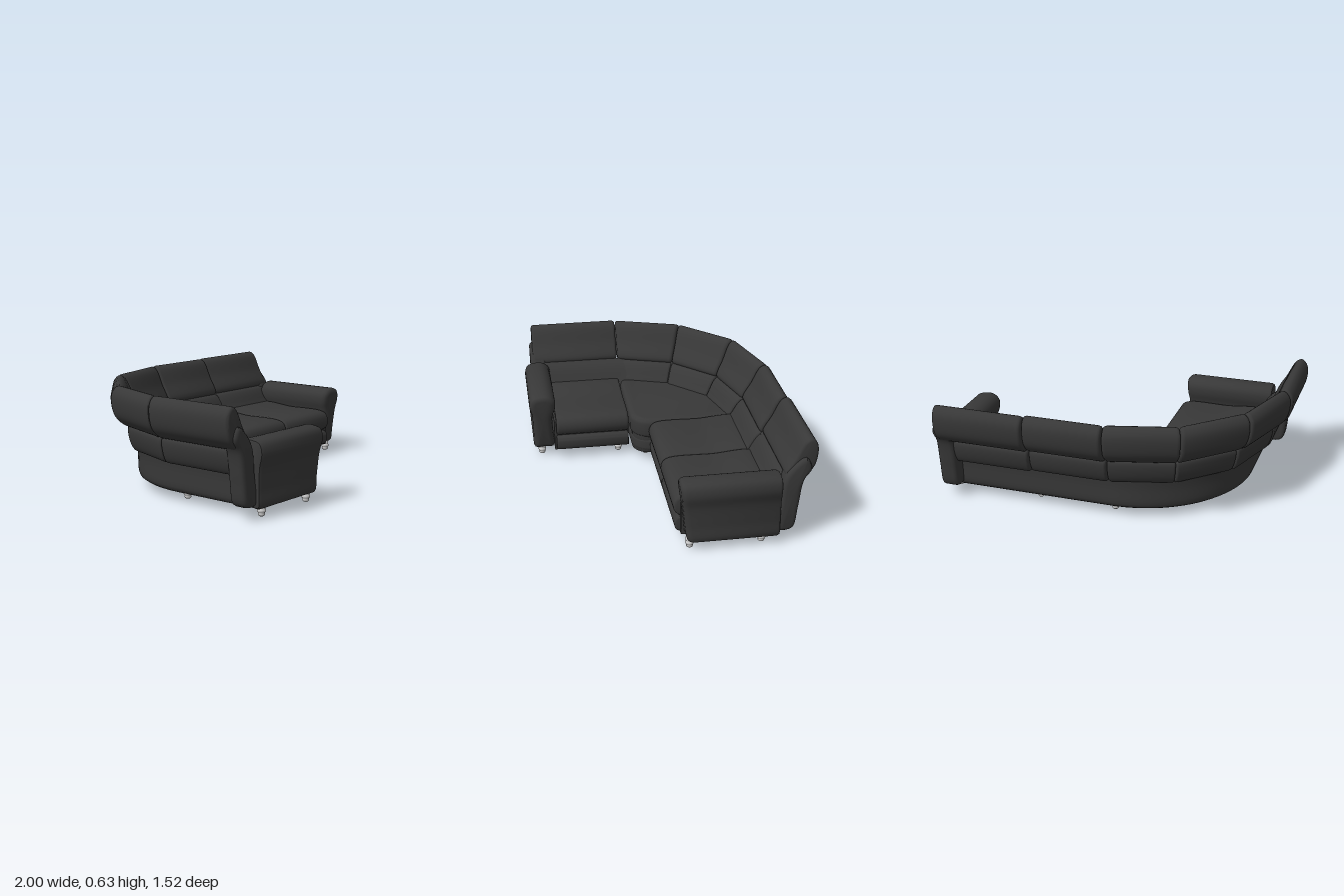
import * as THREE from 'three';
import { toCreasedNormals } from 'three/addons/utils/BufferGeometryUtils.js';

const leather = new THREE.MeshStandardMaterial({ color: 0x383838 });
const metal = new THREE.MeshStandardMaterial({ color: 0xcccccc });

// Centre of the corner turn; q below is the distance outward from it
const CX = -0.09, CZ = 0.13;

// Smooth closed outline through a few [a, y] points, counter-clockwise
function outline(points, n = 48) {
  const curve = new THREE.CatmullRomCurve3(
    points.map(([a, y]) => new THREE.Vector3(a, y, 0)), true, 'centripetal');
  const pts = curve.getSpacedPoints(n).slice(0, n).map(p => new THREE.Vector2(p.x, p.y));
  return THREE.ShapeUtils.area(pts) < 0 ? pts.reverse() : pts;
}

// Outline pulled inward by a distance
function inset(pts, d) {
  const n = pts.length;
  return pts.map((p, i) => {
    const t = pts[(i + 1) % n].clone().sub(pts[(i + n - 1) % n]).normalize();
    return new THREE.Vector2(p.x - t.y * d, p.y + t.x * d);
  });
}

// Closed skin over a row of rings, with both ends capped
function loft(rings) {
  const n = rings[0].length, pos = [], idx = [];
  rings.forEach(r => r.forEach(p => pos.push(p.x, p.y, p.z)));
  for (let i = 0; i < rings.length - 1; i++) {
    for (let j = 0; j < n; j++) {
      const a = i * n + j, b = i * n + (j + 1) % n;
      idx.push(a, b, a + n, b, b + n, a + n);
    }
  }
  [0, rings.length - 1].forEach(k => {
    const c = rings[k].reduce((s, p) => s.add(p), new THREE.Vector3()).divideScalar(n);
    const ci = pos.length / 3;
    pos.push(c.x, c.y, c.z);
    for (let j = 0; j < n; j++) {
      const a = k * n + j, b = k * n + (j + 1) % n;
      k ? idx.push(ci, a, b) : idx.push(ci, b, a);
    }
  });
  // Turn the faces outward if the enclosed volume is negative
  const v = i => new THREE.Vector3().fromArray(pos, i * 3);
  let volume = 0;
  for (let i = 0; i < idx.length; i += 3) volume += v(idx[i]).dot(v(idx[i + 1]).cross(v(idx[i + 2])));
  if (volume < 0) idx.reverse();
  const g = new THREE.BufferGeometry();
  g.setAttribute('position', new THREE.Float32BufferAttribute(pos, 3));
  g.setIndex(idx);
  return toCreasedNormals(g, 0.75);
}

// Stations: an origin and an outward direction, with an optional outward shift
const onLong = (x, o = 0) => ({ x, z: CZ, dx: 0, dz: -1, o });
const onShort = (z, o = 0) => ({ x: CX, z, dx: -1, dz: 0, o });
const onTurn = (deg, o = 0) => {
  const a = THREE.MathUtils.degToRad(deg);
  return { x: CX, z: CZ, dx: -Math.sin(a), dz: -Math.cos(a), o };
};
const place = (s, q, y) => new THREE.Vector3(s.x + s.dx * (q + s.o), y, s.z + s.dz * (q + s.o));

// Padded piece between two stations with softly rounded ends
function cushion(profile, A, B, r = 0.018) {
  const length = place(A, 0.7, 0).distanceTo(place(B, 0.7, 0));
  const steps = [[0, r], [r * 0.12, r * 0.5], [r * 0.45, r * 0.15], [r, 0]];
  const ends = [...steps.map(([f, d]) => [f / length, d]),
    ...steps.slice().reverse().map(([f, d]) => [1 - f / length, d])];
  return loft(ends.map(([f, d]) => inset(profile, d).map(
    p => place(A, p.x, p.y).lerp(place(B, p.x, p.y), f))));
}

const headProfile = outline([[0.715, 0.402], [0.79, 0.385], [0.865, 0.44], [0.89, 0.52], [0.885, 0.59],
  [0.85, 0.627], [0.815, 0.612], [0.76, 0.51], [0.712, 0.425]]);
const lumbarProfile = outline([[0.79, 0.38], [0.735, 0.398], [0.705, 0.395], [0.683, 0.375], [0.652, 0.325],
  [0.63, 0.275], [0.75, 0.24]]);
const seatProfile = outline([[0.67, 0.285], [0.4, 0.288], [0.16, 0.286], [0.118, 0.268], [0.1, 0.22],
  [0.118, 0.172], [0.16, 0.155], [0.4, 0.155], [0.67, 0.155]], 60);
const frontProfile = outline([[0.13, 0.15], [0.112, 0.135], [0.108, 0.105], [0.116, 0.07], [0.135, 0.058],
  [0.25, 0.058], [0.25, 0.15]]);
const shellProfile = outline([[0.5, 0.052], [0.6, 0.052], [0.675, 0.053], [0.69, 0.07], [0.698, 0.2],
  [0.72, 0.34], [0.74, 0.41], [0.69, 0.38], [0.6, 0.25], [0.5, 0.2]]);
const endProfile = outline([[0.68, 0.072], [0.74, 0.07], [0.768, 0.088], [0.79, 0.22], [0.815, 0.385],
  [0.855, 0.45], [0.82, 0.52], [0.76, 0.48], [0.705, 0.4], [0.685, 0.25], [0.668, 0.1]]);

// Corner plan: quarter disc whose inner tip is rounded, extruded upward
function cornerBlock(radius, edge, y0, y1, bevel) {
  const s = new THREE.Shape(), e = edge + bevel, R = radius - bevel, turn = Math.asin(e / R);
  const X = CX - e, Z = CZ - e;      // plan uses (x, -z)
  s.moveTo(X, -Z + 0.09);
  s.absarc(CX, -CZ, R, Math.PI / 2 + turn, Math.PI - turn, false);
  s.lineTo(X - 0.09, -Z);
  s.quadraticCurveTo(X - 0.015, -Z + 0.015, X, -Z + 0.09);
  const g = new THREE.ExtrudeGeometry(s, {
    depth: y1 - y0 - 2 * bevel, bevelThickness: bevel, bevelSize: bevel,
    bevelSegments: 6, curveSegments: 24 });
  g.rotateX(-Math.PI / 2).translate(0, y0 + bevel, 0);
  return toCreasedNormals(g, 0.75);
}

// Armrest: swollen top, front leaning forward towards the top
const armProfile = outline([[0.855, 0.058], [0.915, 0.055], [0.975, 0.058], [0.98, 0.16], [0.985, 0.28], [1.0, 0.36],
  [0.982, 0.415], [0.93, 0.432], [0.88, 0.428], [0.842, 0.395], [0.838, 0.34], [0.858, 0.27], [0.855, 0.16]], 56);
function armrest(map) {
  const back = -0.555, front = -0.03, r = 0.035;
  const rows = [[back, 0.02], [back + 0.004, 0.008], [back + 0.02, 0],
    [front - r, 0], [front - r * 0.45, 0.005], [front - r * 0.1, 0.017], [front, r]];
  return loft(rows.map(([z, d], i) => inset(armProfile, d).map(p => {
    const lean = i > 2 ? 0.045 * (p.y - 0.055) / 0.375 : 0;
    return map(p.x, p.y, z + lean);
  })));
}

export function createModel() {
  const sofa = new THREE.Group();
  sofa.name = 'cornerSofa';
  const add = (name, geometry, material = leather) => {
    const m = new THREE.Mesh(geometry, material);
    m.name = name;
    sofa.add(m);
    return m;
  };
  const box = (name, x0, x1, y0, y1, z0, z1) =>
    add(name, new THREE.BoxGeometry(x1 - x0, y1 - y0, z1 - z0))
      .position.set((x0 + x1) / 2, (y0 + y1) / 2, (z0 + z1) / 2);

  // Backs: upper and lower cushion for each of the six sections
  const g = 0.15;
  const sections = [
    [onLong(0.93), onLong(0.382), onLong(0.88)],
    [onLong(0.38, -0.015), onLong(-0.087, -0.015)],
    [onTurn(g, -0.02), onTurn(30 - g, -0.02)],
    [onTurn(30 + g, -0.02), onTurn(60 - g, -0.015)],
    [onTurn(60 + g, -0.01), onTurn(90 - g, 0.015)],
    [onShort(0.70, 0.02), onShort(0.134, 0.02), onShort(0.65, 0.02)],
  ];
  sections.forEach(([a, b, inner = a]) => {
    add('headCushion', cushion(headProfile, a, b));
    add('lumbarCushion', cushion(lumbarProfile, inner, b, 0.014));
  });

  // Continuous outer shell, recessed beneath the head cushions
  const path = [onLong(0.87)];
  for (let i = 0; i <= 24; i++) path.push(onTurn(i * 3.75));
  path.push(onShort(0.63));
  add('backShell', loft(path.map(s => shellProfile.map(p => place(s, p.x, p.y)))));

  // Padded panels closing both ends of the back
  add('leftEndPanel', cushion(endProfile, onLong(0.955), onLong(0.845), 0.025));
  add('rightEndPanel', cushion(endProfile, onShort(0.718, 0.015), onShort(0.61, 0.015), 0.025));

  // Straight seats with the padded panel below each front edge
  [[onLong(0.848), onLong(0.382)], [onLong(0.38), onLong(-0.087)],
    [onShort(0.598, 0.005), onShort(0.138, 0.005)]].forEach(([a, b]) => {
    add('seat', cushion(seatProfile, a, b, 0.016));
    add('frontPanel', cushion(frontProfile, a, b, 0.012));
  });

  // Corner seat
  add('cornerSeat', cornerBlock(0.66, 0.001, 0.155, 0.288, 0.035));
  add('cornerFrontPanel', cornerBlock(0.66, 0.008, 0.06, 0.152, 0.025));

  // Base frames
  box('longBase', -0.085, 0.87, 0.052, 0.25, -0.53, -0.01);
  box('shortBase', -0.75, -0.24, 0.052, 0.25, 0.135, 0.61);
  add('cornerBase', cornerBlock(0.67, 0.015, 0.052, 0.25, 0.005));

  // Armrests, the second turned to the short side
  add('leftArmrest', armrest((a, y, f) => new THREE.Vector3(a, y, f)));
  add('rightArmrest', armrest((a, y, f) => new THREE.Vector3(f - 0.235, y, a - 0.24)));

  // Turned feet
  const foot = new THREE.LatheGeometry([[0, 0], [0.012, 0], [0.018, 0.005], [0.02, 0.012], [0.017, 0.019],
    [0.022, 0.022], [0.025, 0.029], [0.024, 0.036], [0.018, 0.041], [0.022, 0.044], [0.022, 0.06], [0, 0.06]]
    .map(([r, y]) => new THREE.Vector2(r, y)), 20);
  [[0.92, -0.05], [0.92, -0.46], [0.385, -0.05], [0.385, -0.46], [-0.04, -0.05], [-0.09, -0.47],
    [-0.21, 0.03], [-0.68, 0.13], [-0.28, 0.2], [-0.31, 0.69], [-0.71, 0.69]]
    .forEach(([x, z]) => add('foot', foot, metal).position.set(x, 0, z));

  return sofa;
}
